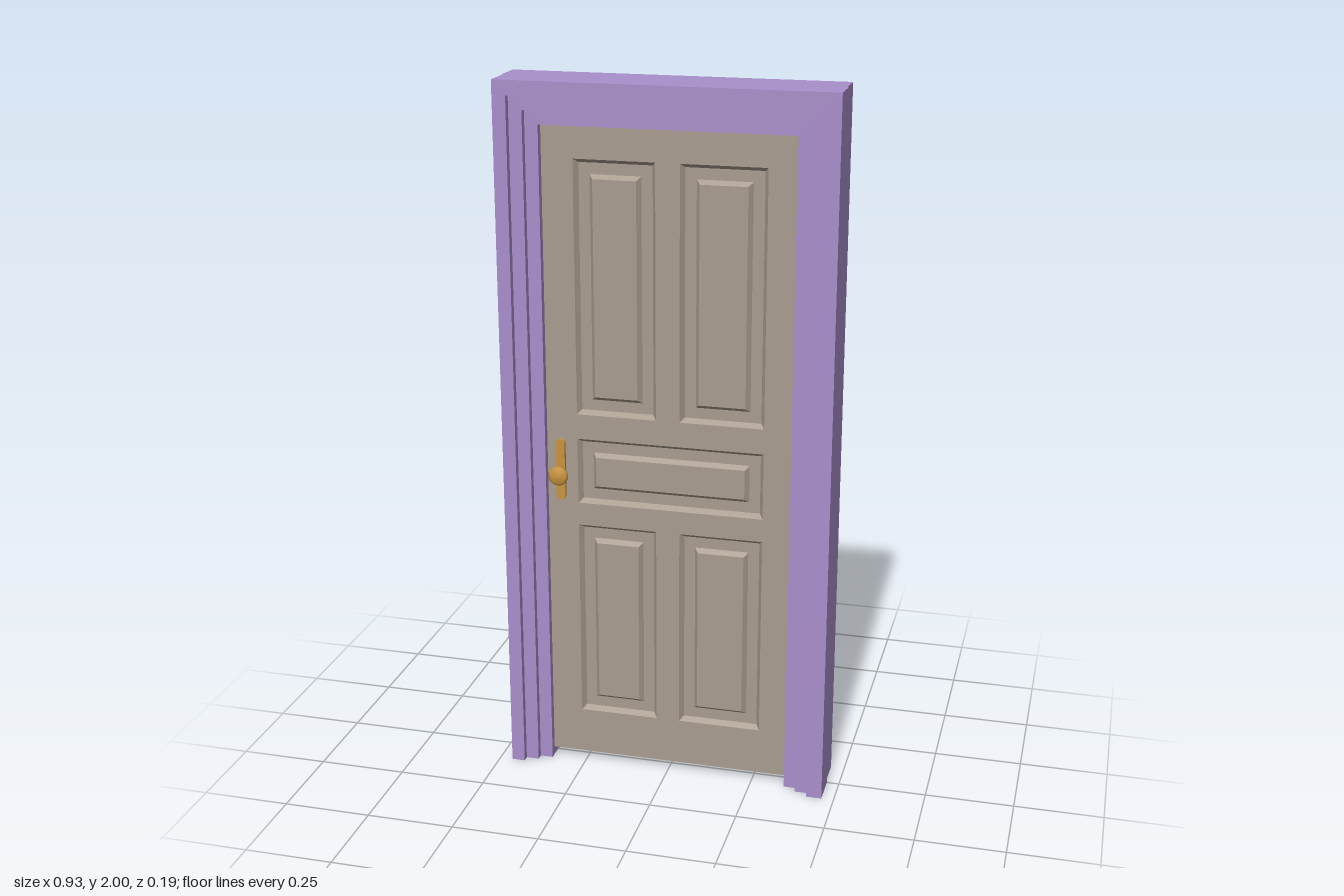
import * as THREE from 'three';

const frameMat = new THREE.MeshStandardMaterial({ color: 0xa98fcb });
frameMat.name = 'lilac paint';
const doorMat = new THREE.MeshStandardMaterial({ color: 0xa99c8f });
doorMat.name = 'taupe paint';
const brassMat = new THREE.MeshStandardMaterial({ color: 0xc8943e });
brassMat.name = 'brass';

const DOOR_Z = 0.033, FLOOR_Z = 0.017;

// Panels as [left, bottom, right, top]
const PANELS = [
  [-0.264, 1.075, -0.037, 1.79], [0.03, 1.075, 0.267, 1.79],
  [-0.264, 0.812, 0.267, 1.003],
  [-0.264, 0.16, -0.037, 0.745], [0.03, 0.16, 0.267, 0.745],
];

// Nested edges of the stepped frame: [left, right, top, front depth of the band inside it]
const EDGES = [
  [-0.464, 0.464, 2.0, 0.094],
  [-0.426, 0.42, 1.96, 0.074],
  [-0.389, 0.383, 1.92, 0.054],
  [-0.352, 0.347, 1.88, 0],
];

function polygon(points, Type = THREE.Shape) {
  return new Type(points.map(([x, y]) => new THREE.Vector2(x, y)));
}

function mesh(name, geometry, material) {
  const m = new THREE.Mesh(geometry, material);
  m.name = name;
  return m;
}

function extrude(shape, depth, curveSegments = 8) {
  return new THREE.ExtrudeGeometry(shape, { depth, bevelEnabled: false, curveSegments });
}

// One U-shaped step of the frame
function frameBand(outer, inner) {
  const [ol, or, ot, depth] = outer, [il, ir, it] = inner;
  return extrude(polygon([[ol, 0], [il, 0], [il, it], [ir, it], [ir, 0], [or, 0], [or, ot], [ol, ot]]), depth);
}

// Sunken groove with sloped sides around a raised field, from nested rectangles
function panelGeometry([l, b, r, t]) {
  const loops = [[0, DOOR_Z], [0.011, FLOOR_Z], [0.042, FLOOR_Z], [0.053, DOOR_Z - 0.002]].map(([d, z]) =>
    [[l + d, b + d, z], [r - d, b + d, z], [r - d, t - d, z], [l + d, t - d, z]]);
  const pos = [];
  const quad = (p, q, s, u) => pos.push(...p, ...q, ...s, ...p, ...s, ...u);
  for (let i = 0; i < loops.length - 1; i++) {
    for (let k = 0; k < 4; k++) {
      const n = (k + 1) % 4;
      quad(loops[i][k], loops[i][n], loops[i + 1][n], loops[i + 1][k]);
    }
  }
  quad(...loops[loops.length - 1]);
  const g = new THREE.BufferGeometry();
  g.setAttribute('position', new THREE.Float32BufferAttribute(pos, 3));
  g.computeVertexNormals();
  return g;
}

// Half of the door leaf, with openings where the panels sit
function leafGeometry() {
  const [l, r, t] = EDGES[3];
  const shape = polygon([[l, 0.025], [r, 0.025], [r, t], [l, t]]);
  for (const [a, b, c, d] of PANELS) {
    shape.holes.push(polygon([[a, b], [a, d], [c, d], [c, b]], THREE.Path));
  }
  return extrude(shape, DOOR_Z);
}

// Rounded backplate with a turned knob
function handle(x) {
  const g = new THREE.Group();
  g.name = 'handle';
  const w = 0.013, h = 0.077;
  const plate = new THREE.Shape();
  plate.absarc(0, h, w, 0, Math.PI, false);
  plate.absarc(0, -h, w, Math.PI, Math.PI * 2, false);
  const backplate = mesh('backplate', extrude(plate, 0.01), brassMat);
  backplate.position.y = 0.01;
  const profile = [[0.012, 0], [0.012, 0.018], [0.02, 0.022], [0.028, 0.029], [0.028, 0.036], [0.021, 0.043], [0, 0.045]];
  const knob = mesh('knob', new THREE.LatheGeometry(profile.map(p => new THREE.Vector2(...p)), 20), brassMat);
  knob.rotation.x = Math.PI / 2;
  g.add(backplate, knob);
  g.position.set(x, 0.9, DOOR_Z);
  return g;
}

// One face of the door and its frame
function doorHalf(name, handleX) {
  const g = new THREE.Group();
  g.name = name;
  for (let i = 0; i < 3; i++) g.add(mesh('frameBand' + (i + 1), frameBand(EDGES[i], EDGES[i + 1]), frameMat));
  g.add(mesh('doorLeaf', leafGeometry(), doorMat));
  PANELS.forEach((p, i) => g.add(mesh('panel' + (i + 1), panelGeometry(p), doorMat)));
  g.add(handle(handleX));
  return g;
}

export function createModel() {
  const door = new THREE.Group();
  door.name = 'door';
  const front = doorHalf('frontHalf', -0.312);
  front.position.x = 0.001;
  const back = doorHalf('backHalf', 0.31);
  back.rotation.y = Math.PI;
  back.position.x = -0.003;
  door.add(front, back);
  return door;
}
